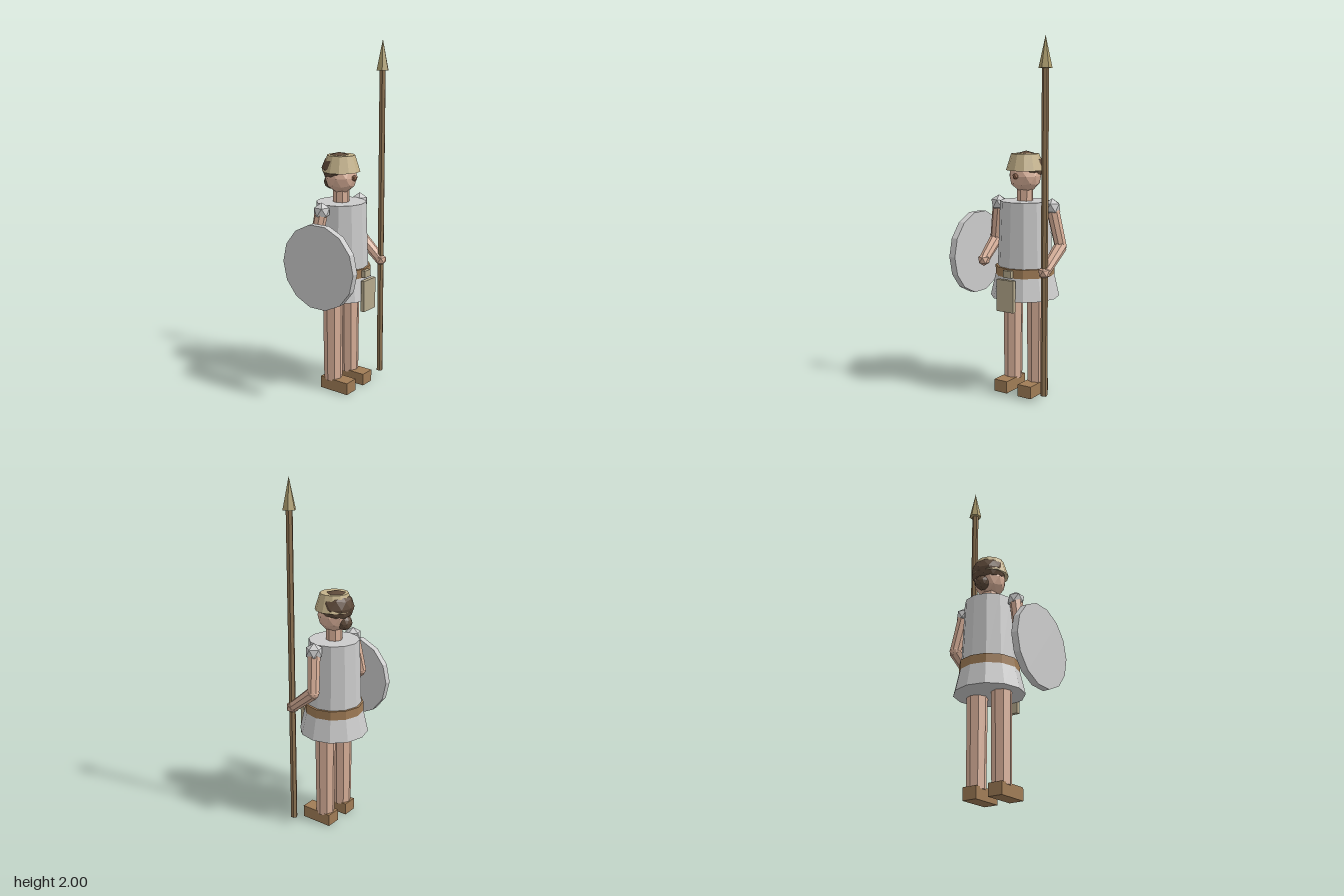
import * as THREE from 'three';

const CX = 0.025, CZ = -0.055; // axis of the body

const material = (color) => new THREE.MeshStandardMaterial({ color, flatShading: true });
const grey = material(0xcccccc);
const skin = material(0xd9b099);
const noseSkin = material(0xa87658);
const leather = material(0xa07c56);
const hairBrown = material(0x5e4a3a);
const cap = material(0xc4b28a);
const wood = material(0x8f7453);
const tan = material(0xb5a98c);
const bronze = material(0xb0a070);

export function createModel() {
  const model = new THREE.Group();
  model.name = 'spearman';

  function add(name, geometry, mat, x, y, z) {
    const mesh = new THREE.Mesh(geometry, mat);
    mesh.name = name;
    mesh.position.set(x, y, z);
    model.add(mesh);
    return mesh;
  }
  // Upright tapered prism between two heights
  const drum = (name, rTop, rBottom, y0, y1, sides, mat, x = CX, z = CZ) =>
    add(name, new THREE.CylinderGeometry(rTop, rBottom, y1 - y0, sides), mat, x, (y0 + y1) / 2, z);
  // Box given by its low and high corners
  const block = (name, lo, hi, mat) =>
    add(name, new THREE.BoxGeometry(...hi.map((v, i) => v - lo[i])), mat,
      ...hi.map((v, i) => (v + lo[i]) / 2));
  // Faceted ball with a corner pointing straight up
  const ball = (name, r, detail, mat, x, y, z) => {
    const g = new THREE.IcosahedronGeometry(r, detail);
    g.rotateZ(Math.atan(2 / (1 + Math.sqrt(5)))).rotateY(Math.PI);
    return add(name, g, mat, x, y, z);
  };
  // Tapered limb from point a to point b
  const limb = (name, a, b, rA, rB) => {
    const from = new THREE.Vector3(...a), to = new THREE.Vector3(...b);
    const dir = to.clone().sub(from);
    const mid = from.clone().add(to).multiplyScalar(0.5);
    const mesh = add(name, new THREE.CylinderGeometry(rB, rA, dir.length(), 8), skin, mid.x, mid.y, mid.z);
    mesh.quaternion.setFromUnitVectors(new THREE.Vector3(0, 1, 0), dir.normalize());
  };

  // Tunic and belt
  drum('torso', 0.142, 0.157, 0.69, 1.105, 12, grey);
  drum('skirt', 0.157, 0.196, 0.56, 0.735, 12, grey);
  drum('belt', 0.168, 0.168, 0.685, 0.737, 12, leather);
  block('buckle', [0, 0.69, 0.1], [0.052, 0.73, 0.13], tan);
  block('frontFlap', [-0.032, 0.5, 0.123], [0.079, 0.68, 0.146], tan);

  // Head, hair and cap
  drum('neck', 0.046, 0.046, 1.08, 1.19, 8, skin);
  ball('head', 0.092, 1, skin, CX, 1.245, CZ);
  ball('nose', 0.018, 0, noseSkin, 0.022, 1.247, 0.037);
  ball('hair', 0.1, 1, hairBrown, CX, 1.296, -0.068).scale.y = 0.89;
  ball('hairBun', 0.043, 1, hairBrown, CX, 1.212, -0.125);
  drum('cap', 0.079, 0.108, 1.277, 1.37, 12, cap);

  // Legs, shoes and shoulder guards on both sides
  for (const s of [-1, 1]) {
    const side = s < 0 ? 'right' : 'left';
    const x = CX + s * 0.081;
    drum(side + 'Leg', 0.058, 0.053, 0.06, 0.6, 8, skin, x);
    block(side + 'Shoe', [x - 0.043, 0, -0.113], [x + 0.043, 0.07, 0.075], leather);
    ball(side + 'ShoulderGuard', 0.05, 0, grey, CX + s * 0.18, 1.078, CZ);
  }

  // Arms, each with its own pose
  const arms = [
    ['right', [-0.155, 1.08, CZ], [-0.195, 0.865, -0.08], [-0.192, 0.757, 0.046]],
    ['left', [0.205, 1.08, CZ], [0.246, 0.86, -0.08], [0.237, 0.735, 0.075]],
  ];
  for (const [side, shoulder, elbow, hand] of arms) {
    limb(side + 'UpperArm', shoulder, elbow, 0.037, 0.034);
    limb(side + 'Forearm', elbow, hand, 0.037, 0.03);
    ball(side + 'Elbow', 0.034, 1, skin, ...elbow);
    ball(side + 'Hand', 0.037, 0, skin, ...hand);
  }

  // Spear
  drum('spearShaft', 0.019, 0.019, 0.04, 1.84, 6, wood, 0.238, 0.075);
  drum('spearHead', 0, 0.037, 1.83, 2, 6, bronze, 0.238, 0.075);

  // Round shield standing beside the right arm
  const shield = new THREE.CylinderGeometry(0.239, 0.239, 0.039, 14).rotateZ(Math.PI / 2);
  add('shield', shield, grey, -0.2625, 0.795, 0.01);

  return model;
}
